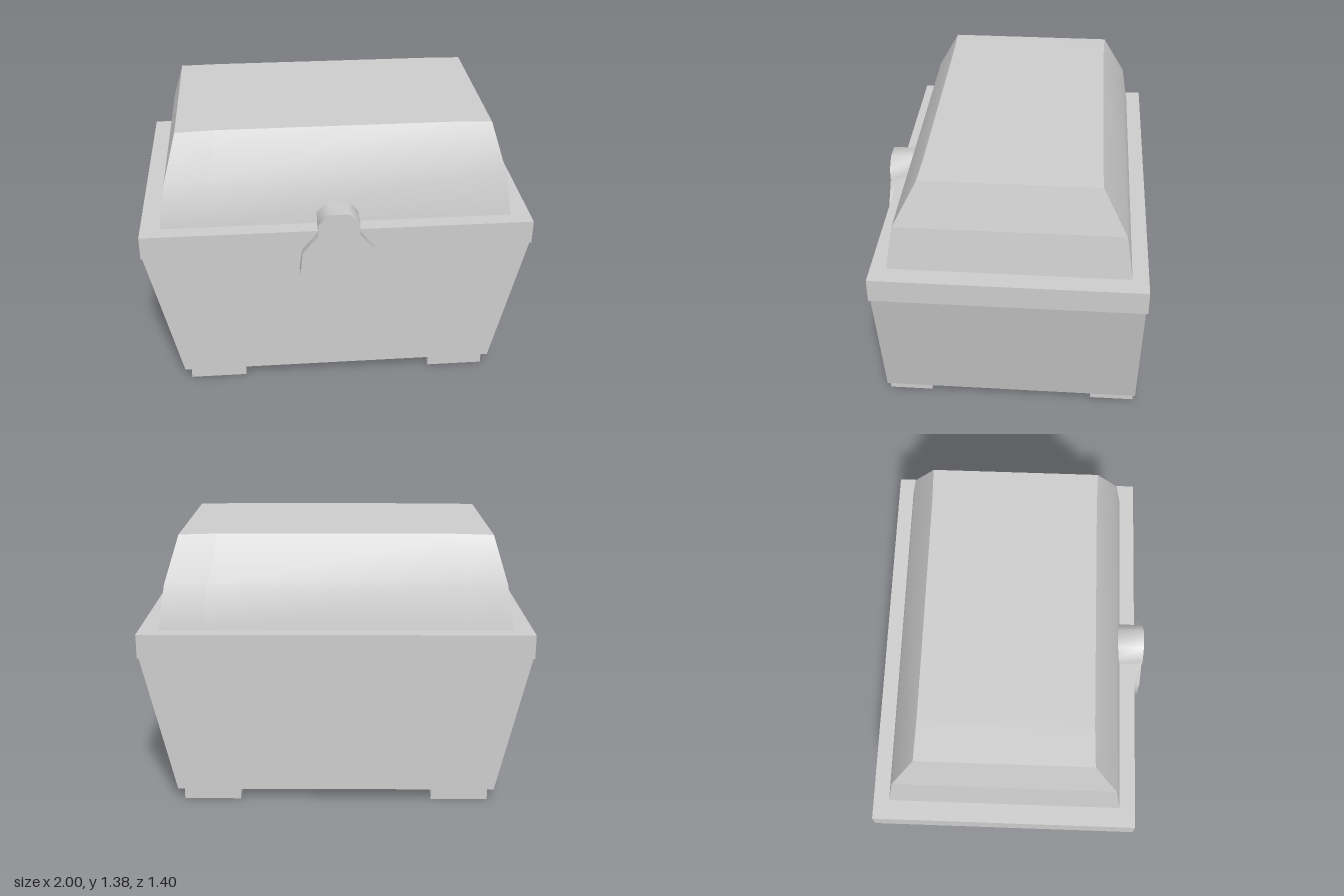
import * as THREE from 'three';
import { toCreasedNormals } from 'three/addons/utils/BufferGeometryUtils.js';

const ZC = -0.02; // the chest body sits slightly behind the latch

function material(options = {}) {
  return new THREE.MeshStandardMaterial({ color: 0xcccccc, ...options });
}

function addMesh(parent, name, geometry, mat) {
  const mesh = new THREE.Mesh(geometry, mat);
  mesh.name = name;
  parent.add(mesh);
  return mesh;
}

// Surface from equal-length rows of points; rows go up, columns go right.
function gridSurface(rows) {
  const n = rows[0].length;
  const index = [];
  for (let r = 0; r < rows.length - 1; r++) {
    for (let c = 0; c < n - 1; c++) {
      const a = r * n + c, b = a + 1, d = a + n, e = d + 1;
      index.push(a, b, e, a, e, d);
    }
  }
  const geometry = new THREE.BufferGeometry();
  geometry.setAttribute('position', new THREE.Float32BufferAttribute(rows.flat(2), 3));
  geometry.setIndex(index);
  geometry.computeVertexNormals();
  return geometry;
}

export function createModel() {
  const chest = new THREE.Group();
  chest.name = 'chest';
  const smooth = material();
  const flat = material({ flatShading: true });
  const thin = material({ flatShading: true, side: THREE.DoubleSide });

  // Body: a box whose ends taper inward towards the base
  const bodyGeometry = new THREE.BoxGeometry(1.99, 0.73, 1.34);
  const p = bodyGeometry.attributes.position;
  for (let i = 0; i < p.count; i++) {
    if (p.getY(i) < 0) p.setX(i, Math.sign(p.getX(i)) * 0.828);
  }
  addMesh(chest, 'body', bodyGeometry, flat).position.set(0, 0.425, ZC);

  // Rim between body and lid
  addMesh(chest, 'rim', new THREE.BoxGeometry(2, 0.125, 1.36), flat).position.set(0, 0.85, ZC);

  // Feet: short square sleeves, open underneath
  const feet = new THREE.Group();
  feet.name = 'feet';
  chest.add(feet);
  const footGeometry = new THREE.CylinderGeometry(Math.SQRT1_2, Math.SQRT1_2, 1, 4, 1, true)
    .rotateY(Math.PI / 4).scale(0.295, 0.06, 0.23);
  for (const sx of [-1, 1]) {
    for (const sz of [-1, 1]) {
      addMesh(feet, 'foot', footGeometry, thin).position.set(sx * 0.648, 0.03, ZC + sz * 0.545);
    }
  }

  // Lid: three levels of [height, half width, half depth], slightly bowed on top
  const lid = new THREE.Group();
  lid.name = 'lid';
  lid.position.z = ZC;
  chest.add(lid);
  const levels = [[0.91, 0.9, 0.6], [1.14, 0.865, 0.563], [1.37, 0.8, 0.44]];
  const side = levels.map(([y, x, z], i) => [-1, -0.75, 0.75, 1].map((t) => {
    const bow = i === 2 && Math.abs(t) < 1 ? 0.005 : 0;
    return [x * t, y + bow, z - bow];
  }));
  const turn = ([x, y, z]) => [-x, y, -z];
  addMesh(lid, 'lidFront', gridSurface(side), smooth);
  addMesh(lid, 'lidBack', gridSurface(side.map((row) => row.map(turn))), smooth);
  const topEdge = side[2];
  addMesh(lid, 'lidTop', gridSurface([topEdge, topEdge.map(([x, y, z]) => [x, y, -z])]), smooth);
  const end = levels.map(([y, x, z]) => [[x, y, z], [x, y, -z]]);
  addMesh(lid, 'lidLeftEnd', gridSurface(end), flat);
  addMesh(lid, 'lidRightEnd', gridSurface(end.map((row) => row.map(turn))), flat);

  // Latch: rounded plate with a narrower neck
  const half = [[0.055, 0.57], [0.15, 0.61], [0.2, 0.69], [0.185, 0.81],
    [0.105, 0.905], [0.105, 0.97], [0.05, 1.025]];
  const outline = [...half, ...half.map(([x, y]) => [-x, y]).reverse()];
  const shape = new THREE.Shape(outline.map(([x, y]) => new THREE.Vector2(x, y)));
  const latch = new THREE.ExtrudeGeometry(shape, { depth: 0.15, bevelEnabled: false });
  addMesh(chest, 'latch', toCreasedNormals(latch, 0.9), smooth).position.z = 0.55;

  return chest;
}
